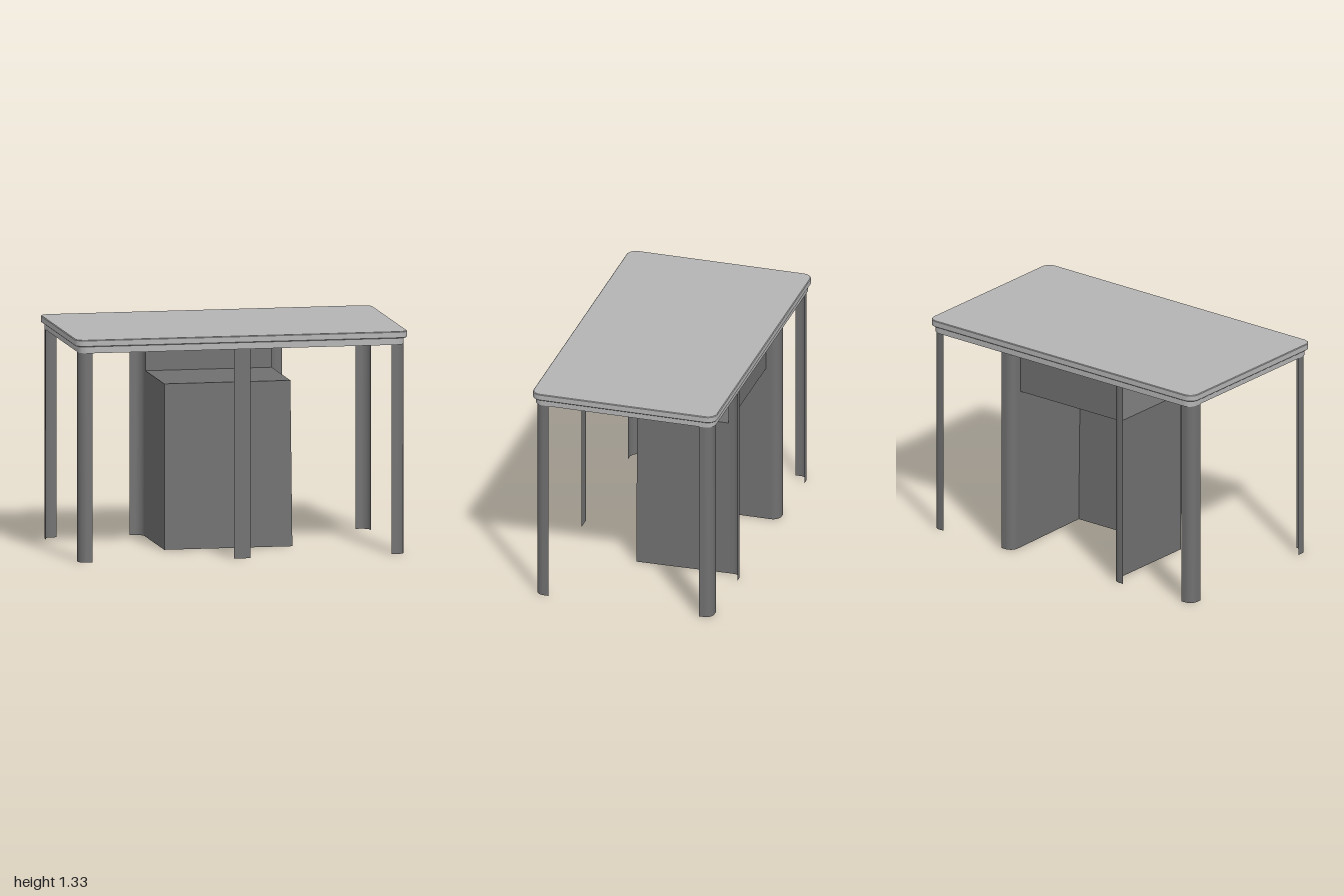
import * as THREE from 'three';
import { toCreasedNormals } from 'three/addons/utils/BufferGeometryUtils.js';

const TOP_Y = 1.25; // underside of the table top
const LEG = 0.08; // width of each curved leg shell

function material(name, color, side = THREE.FrontSide) {
  const m = new THREE.MeshStandardMaterial({ color, side });
  m.name = name;
  return m;
}

// Horizontal slab with rounded corners and a small bevel
function slab(hx, hz, r, y0, y1, bevel) {
  const x = hx - bevel, z = hz - bevel;
  const s = new THREE.Shape();
  s.absarc(x - r, z - r, r, 0, Math.PI / 2);
  s.absarc(-x + r, z - r, r, Math.PI / 2, Math.PI);
  s.absarc(-x + r, -z + r, r, Math.PI, Math.PI * 1.5);
  s.absarc(x - r, -z + r, r, Math.PI * 1.5, Math.PI * 2);
  s.closePath();
  const g = new THREE.ExtrudeGeometry(s, {
    depth: y1 - y0 - 2 * bevel, curveSegments: 8,
    bevelEnabled: bevel > 0, bevelThickness: bevel, bevelSize: bevel, bevelSegments: 1,
  });
  g.rotateX(-Math.PI / 2).translate(0, y0 + bevel, 0);
  return toCreasedNormals(g, Math.PI / 6);
}

// Upright open shell bent round a corner at (cx, cz); its wings run along dx and dz
function legShell(cx, cz, dx, dz) {
  const r = 0.05;
  const path = [[LEG, 0]];
  for (let i = 0; i <= 8; i++) {
    const a = (i / 8) * Math.PI / 2;
    path.push([r - r * Math.sin(a), r - r * Math.cos(a)]);
  }
  path.push([0, LEG]);
  const g = new THREE.PlaneGeometry(1, TOP_Y, path.length - 1, 1);
  g.translate(0, TOP_Y / 2, 0);
  const p = g.attributes.position;
  for (let i = 0; i < p.count; i++) {
    const [u, v] = path[i % path.length];
    p.setX(i, cx + dx * u);
    p.setZ(i, cz + dz * v);
  }
  g.computeVertexNormals();
  return g;
}

// Flat sheet through four corners
function sheet(a, b, c, d) {
  const g = new THREE.BufferGeometry();
  g.setAttribute('position', new THREE.Float32BufferAttribute([...a, ...b, ...c, ...d], 3));
  g.setIndex([0, 1, 2, 0, 2, 3]);
  g.computeVertexNormals();
  return g;
}

export function createModel() {
  const model = new THREE.Group();
  model.name = 'desk';
  const light = material('lightGrey', 0xb4b4b4);
  const dark = material('darkGrey', 0x707070, THREE.DoubleSide);
  const add = (name, geometry, mat) => {
    const mesh = new THREE.Mesh(geometry, mat);
    mesh.name = name;
    model.add(mesh);
  };

  // Table top in two steps
  add('tableTop', slab(1, 0.568, 0.055, 1.29, 1.33, 0.004), light);
  add('tableTopBase', slab(0.98, 0.555, 0.055, TOP_Y, 1.29, 0), light);

  for (const s of [1, -1]) {
    const side = s > 0 ? 'Left' : 'Right';
    // Corner legs, open towards the middle
    add(`frontLeg${side}`, legShell(s * 0.98, 0.545, -s, -1), dark);
    add(`backLeg${side}`, legShell(s * 0.98, -0.545, -s, 1), dark);
    // Curved legs beside the recess, open outwards
    add(`recessLeg${side}`, legShell(s * 0.38, -0.545, s, 1), dark);
  }

  // Flat post in the middle of the front edge
  add('frontPost', sheet([-0.05, 0, 0.545], [0.05, 0, 0.545],
    [0.05, TOP_Y, 0.545], [-0.05, TOP_Y, 0.545]), dark);

  // Recess open to the back and below; one lower corner leans out slightly
  const w = 0.38, h = 0.99, zf = 0.1, zb = -0.465, lean = 0.392;
  add('recessFront', sheet([-w, 0, zf], [lean, 0, zf], [w, h, zf], [-w, h, zf]), dark);
  add('recessSideLeft', sheet([lean, 0, zf], [w, 0, zb], [w, h, zb], [w, h, zf]), dark);
  add('recessSideRight', sheet([-w, 0, zb], [-w, 0, zf], [-w, h, zf], [-w, h, zb]), dark);
  add('recessRoof', sheet([-w, h, zf], [w, h, zf], [w, h, zb], [-w, h, zb]), dark);
  add('backApron', sheet([w, h, zb], [-w, h, zb], [-w, TOP_Y, zb], [w, TOP_Y, zb]), dark);

  return model;
}
